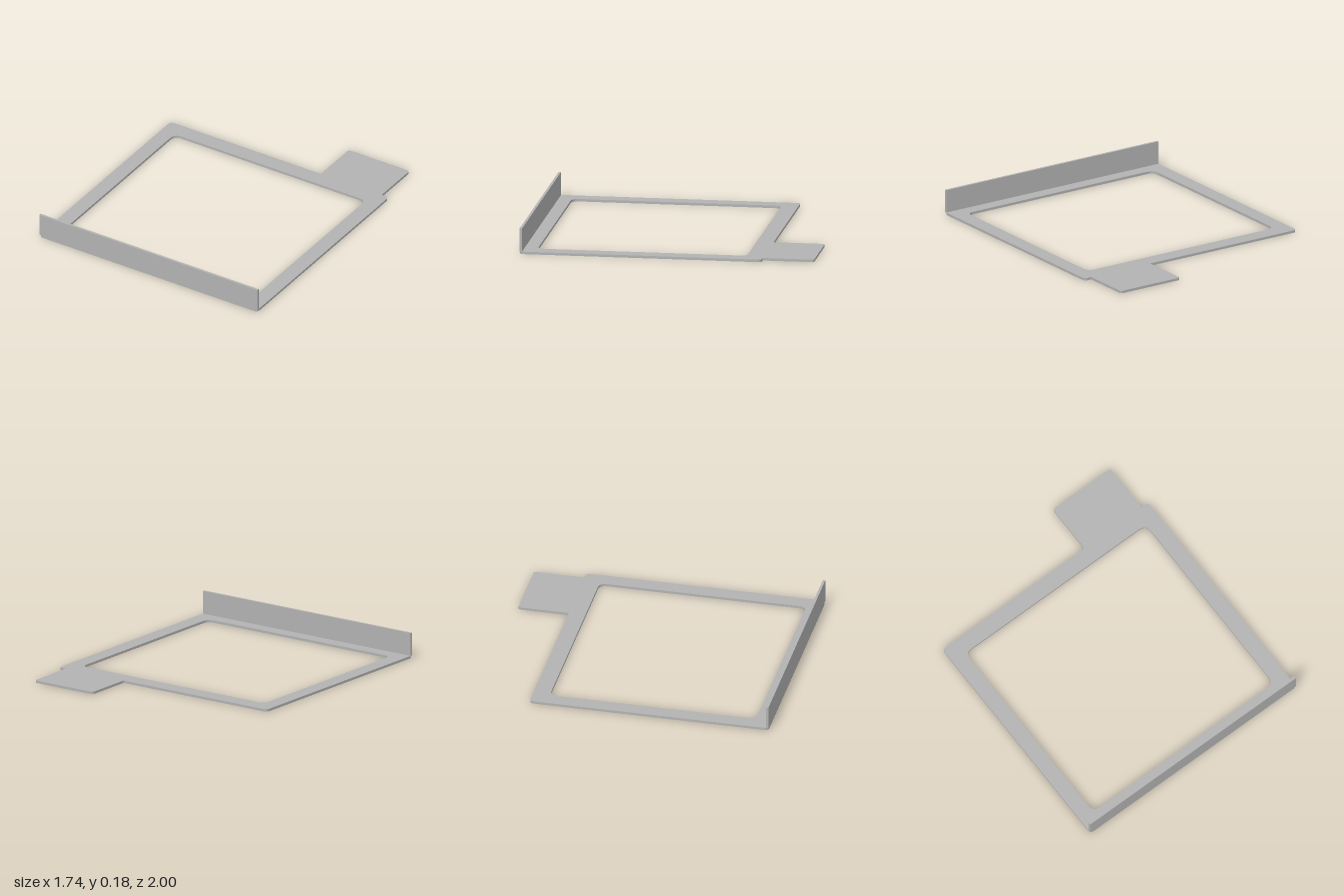
import * as THREE from 'three';

const THICK = 0.017;

// Closed outline from [x, z, cornerRadius] points, drawn with shape y = -z
function roundedOutline(target, points) {
  const n = points.length;
  points.forEach(([x, z, r], i) => {
    const corner = new THREE.Vector2(x, -z);
    const toward = (p) => new THREE.Vector2(p[0], -p[1]).sub(corner).setLength(r).add(corner);
    const a = toward(points[(i + n - 1) % n]);
    const b = toward(points[(i + 1) % n]);
    if (i === 0) target.moveTo(a.x, a.y);
    else target.lineTo(a.x, a.y);
    if (r > 0) target.quadraticCurveTo(corner.x, corner.y, b.x, b.y);
  });
  target.closePath();
  return target;
}

export function createModel() {
  const group = new THREE.Group();
  group.name = 'framedBracket';
  const grey = new THREE.MeshStandardMaterial({ color: 0xb2b2b2 });
  grey.name = 'plain grey';

  // Flat frame with the rear tab in one plate
  const plate = roundedOutline(new THREE.Shape(), [
    [-0.87, 1, 0.03], [0.87, 1, 0.03], [0.87, -0.65, 0.03], [0.815, -0.65, 0],
    [0.815, -1, 0.02], [0.33, -1, 0.02], [0.33, -0.65, 0], [-0.87, -0.65, 0.03],
  ]);
  // Rounded window opening
  plate.holes.push(roundedOutline(new THREE.Path(), [
    [-0.765, 0.893, 0.055], [-0.765, -0.535, 0.055], [0.762, -0.535, 0.055], [0.762, 0.893, 0.055],
  ]));
  const plateGeo = new THREE.ExtrudeGeometry(plate, { depth: THICK, bevelEnabled: false, curveSegments: 8 });
  plateGeo.rotateX(-Math.PI / 2);
  const frame = new THREE.Mesh(plateGeo, grey);
  frame.name = 'framePlate';
  group.add(frame);

  // Upright lip along the front edge
  const height = 0.176 - THICK;
  const lip = new THREE.Mesh(new THREE.BoxGeometry(1.74, height, THICK), grey);
  lip.name = 'frontLip';
  lip.position.set(0, THICK + height / 2, 1 - THICK / 2);
  group.add(lip);

  return group;
}
